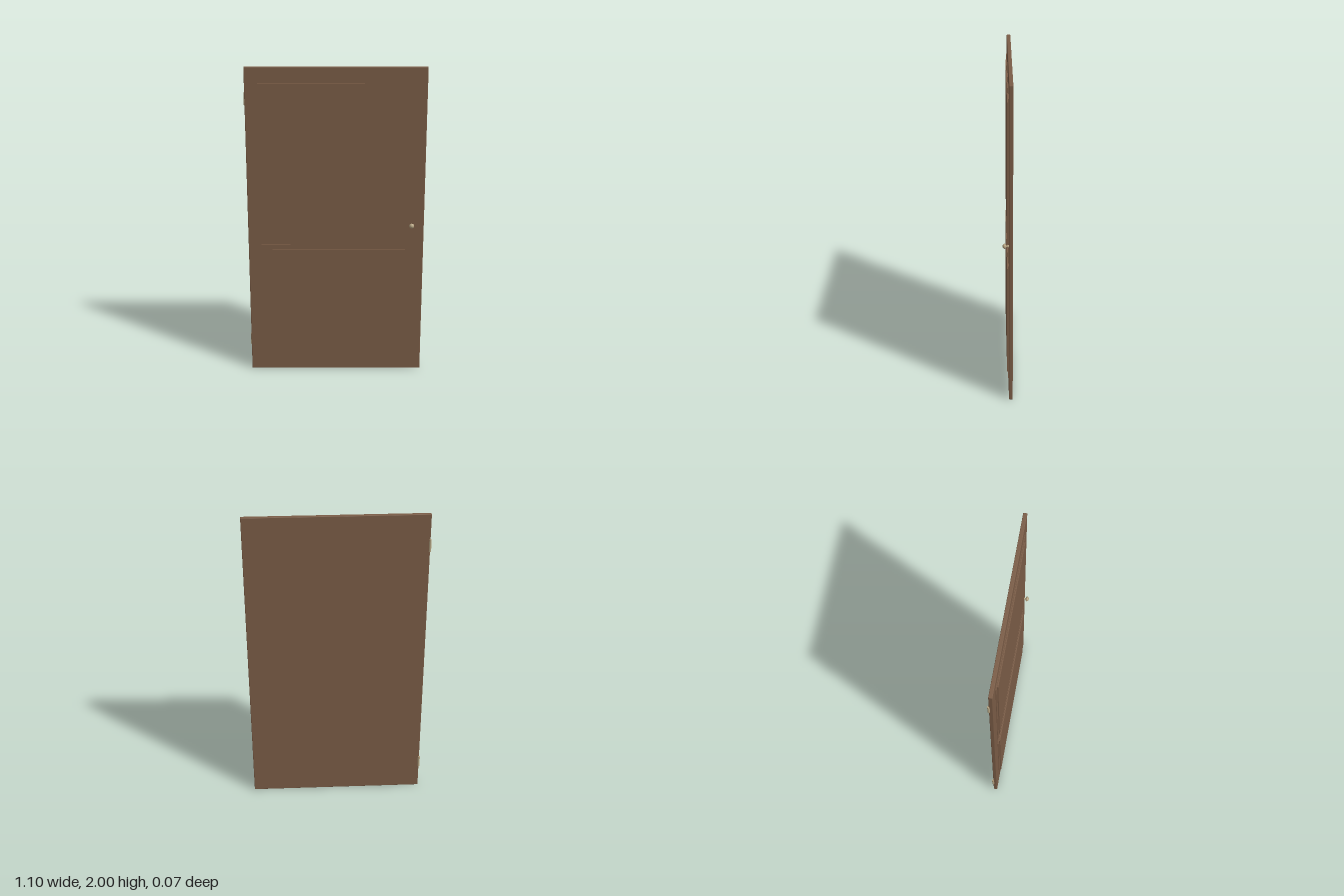
import * as THREE from 'three';
import { RoundedBoxGeometry } from 'three/addons/geometries/RoundedBoxGeometry.js';

const wood = new THREE.MeshStandardMaterial({ color: 0x7a5c46 });
const brass = new THREE.MeshStandardMaterial({ color: 0xb5a482 });

// Box given by its extents on each axis
function slab(name, [x0, x1], [y0, y1], [z0, z1], bevel = 0) {
  const size = [x1 - x0, y1 - y0, z1 - z0];
  const geometry = bevel
    ? new RoundedBoxGeometry(...size, 2, bevel)
    : new THREE.BoxGeometry(...size);
  const mesh = new THREE.Mesh(geometry, wood);
  mesh.name = name;
  mesh.position.set((x0 + x1) / 2, (y0 + y1) / 2, (z0 + z1) / 2);
  return mesh;
}

// Two-step raised panel
function raisedPanel(name, y0, y1) {
  const group = new THREE.Group();
  group.name = name;
  const inset = 0.03;
  group.add(
    slab('panelMoulding', [-0.465, 0.467], [y0, y1], [-0.012, 0.001]),
    slab('panelField', [-0.465 + inset, 0.467 - inset], [y0 + inset, y1 - inset], [-0.008, 0.007])
  );
  return group;
}

// Hinge barrel on the back edge
function hinge(name, y) {
  const mesh = new THREE.Mesh(new THREE.CylinderGeometry(0.007, 0.007, 0.078, 20), brass);
  mesh.name = name;
  mesh.position.set(-0.544, y, -0.027);
  return mesh;
}

// Turned knob with a short neck, axis along +z
function doorKnob() {
  const profile = [
    [0, 0], [0.007, 0], [0.007, 0.006], [0.005, 0.012], [0.006, 0.016],
    [0.012, 0.019], [0.0155, 0.024], [0.0155, 0.027], [0.012, 0.032], [0.006, 0.036], [0, 0.037],
  ].map(([r, h]) => new THREE.Vector2(r, h));
  const mesh = new THREE.Mesh(new THREE.LatheGeometry(profile, 28), brass);
  mesh.name = 'doorKnob';
  mesh.rotation.x = Math.PI / 2;
  mesh.position.set(0.473, 1.006, -0.003);
  return mesh;
}

export function createModel() {
  const door = new THREE.Group();
  door.name = 'door';
  door.add(
    slab('doorLeaf', [-0.545, 0.55], [0, 2], [-0.026, -0.003], 0.003),
    raisedPanel('upperPanel', 0.97, 1.9),
    raisedPanel('lowerPanel', 0.1, 0.87),
    doorKnob(),
    hinge('upperHinge', 1.802),
    hinge('lowerHinge', 0.202)
  );
  return door;
}
